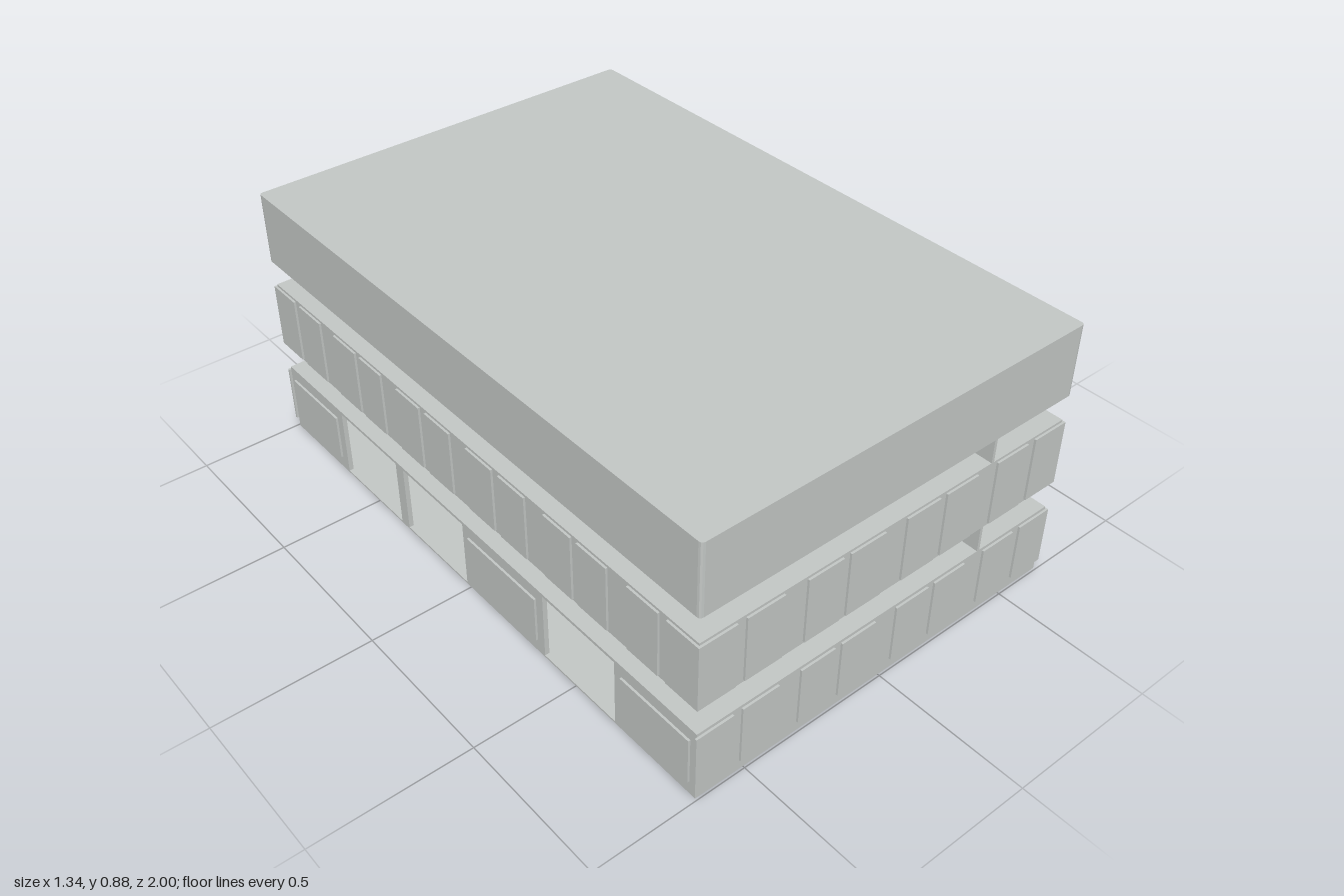
import * as THREE from 'three';

export function createModel() {
  const model = new THREE.Group();
  const mat = (name, color) => {
    const m = new THREE.MeshStandardMaterial({ color });
    m.name = name;
    return m;
  };
  const concrete = mat('concrete grey', 0xc4c8c6);
  const wood = mat('wood brown', 0xac9270);
  const doorBrown = mat('door frame brown', 0xa0582f);

  // Box given by its minimum and maximum corners
  function block(name, x0, x1, y0, y1, z0, z1, material = concrete, parent = model) {
    const mesh = new THREE.Mesh(new THREE.BoxGeometry(x1 - x0, y1 - y0, z1 - z0), material);
    mesh.position.set((x0 + x1) / 2, (y0 + y1) / 2, (z0 + z1) / 2);
    mesh.name = name;
    parent.add(mesh);
    return mesh;
  }

  const W = 0.663, D = 0.993, OX = 0.67, OZ = 1, T = 0.015;

  // Panel spans, mirrored about the middle of each side
  const mirrorSpans = (list) => list.flatMap(([a, b]) => [[a, b], [-b, -a]]);
  const endSpans = mirrorSpans([[0.04, 0.165], [0.19, 0.312], [0.39, 0.515], [0.545, OX]]);
  const sideSpans = mirrorSpans([[0.04, 0.16], [0.19, 0.307], [0.39, 0.505], [0.53, 0.65], [0.73, 0.85], [0.88, OZ]]);

  function endPanels(y0, y1) {
    for (const [a, b] of endSpans) {
      block('frontPanel', a, b, y0, y1, D, OZ);
      block('backPanel', a, b, y0, y1, -OZ, -D);
    }
  }
  function sidePanels(side, spans, y0, y1) {
    for (const [a, b] of spans) {
      if (side > 0) block('rightSidePanel', W, OX, y0, y1, a, b);
      else block('leftSidePanel', -OX, -W, y0, y1, a, b);
    }
  }

  // Ground storey: hollow, with open bays on both long sides
  block('groundFloor', -W, W, 0, 0.006, -D, D);
  block('groundCeiling', -W, W, 0.23, 0.24, -D, D);
  block('groundFrontWall', -W, W, 0.006, 0.23, D - T, D);
  block('groundBackWall', -W, W, 0.006, 0.23, -D, -D + T);
  for (const [a, b] of [[-D, 0.05], [0.3, D]]) block('groundSideWall', W - T, W, 0.006, 0.23, a, b);
  for (const [a, b] of [[-D, -0.68], [-0.37, -0.33], [-0.02, 0.36], [0.67, D]])
    block('groundBayWall', -W, -W + T, 0.006, 0.23, a, b);
  endPanels(0.035, 0.23);
  sidePanels(1, sideSpans.filter(([a]) => a < 0 || a > 0.35), 0.035, 0.23);
  sidePanels(-1, [[-0.97, -0.71], [0.01, 0.33], [0.7, 0.97]], 0.045, 0.2);

  // Inner partition with a door frame
  block('partition', -0.46, -0.45, 0.006, 0.23, -0.68, 0.36);
  for (const z of [0.17, 0.284]) block('doorPost', -0.45, -0.44, 0.006, 0.2, z, z + 0.006, doorBrown);
  block('doorLintel', -0.45, -0.44, 0.2, 0.206, 0.17, 0.29, doorBrown);

  // Middle storey
  block('middleStorey', -W, W, 0.325, 0.555, -D, D);
  endPanels(0.333, 0.547);
  sidePanels(1, sideSpans, 0.333, 0.547);
  sidePanels(-1, sideSpans, 0.333, 0.547);

  // Top storey with slightly rounded corners
  const r = 0.012;
  const outline = new THREE.Shape();
  outline.moveTo(-OX + r, -OZ);
  outline.lineTo(OX - r, -OZ).quadraticCurveTo(OX, -OZ, OX, -OZ + r);
  outline.lineTo(OX, OZ - r).quadraticCurveTo(OX, OZ, OX - r, OZ);
  outline.lineTo(-OX + r, OZ).quadraticCurveTo(-OX, OZ, -OX, OZ - r);
  outline.lineTo(-OX, -OZ + r).quadraticCurveTo(-OX, -OZ, -OX + r, -OZ);
  const roofGeo = new THREE.ExtrudeGeometry(outline, { depth: 0.233, bevelEnabled: false, curveSegments: 3 });
  roofGeo.rotateX(-Math.PI / 2);
  const roof = new THREE.Mesh(roofGeo, concrete);
  roof.position.y = 0.642;
  roof.name = 'topStorey';
  model.add(roof);
  block('woodCeiling', -W, W, 0.639, 0.642, -D, 0, wood);

  // Corner stairwell in each open gap
  for (const base of [0.24, 0.555]) {
    const stair = new THREE.Group();
    stair.name = 'stairwell';
    stair.position.y = base;
    model.add(stair);
    const H = 0.086;
    block('innerWall', 0.367, 0.377, 0, H, 0.595, D, concrete, stair);
    block('backWall', 0.377, W, 0, H, 0.595, 0.605, concrete, stair);
    block('middleWall', 0.515, 0.527, 0, H, 0.605, 0.82, concrete, stair);
    const steps = 6;
    for (let i = 0; i < steps; i++) {
      block('step', 0.379, 0.513, 0, (H - 0.008) * (i + 1) / steps, 0.605, 0.9 - i * 0.045, concrete, stair);
    }
    for (const x of [0.533, 0.655]) block('railPost', x, x + 0.005, 0, 0.015, 0.815, 0.82, concrete, stair);
  }

  return model;
}
